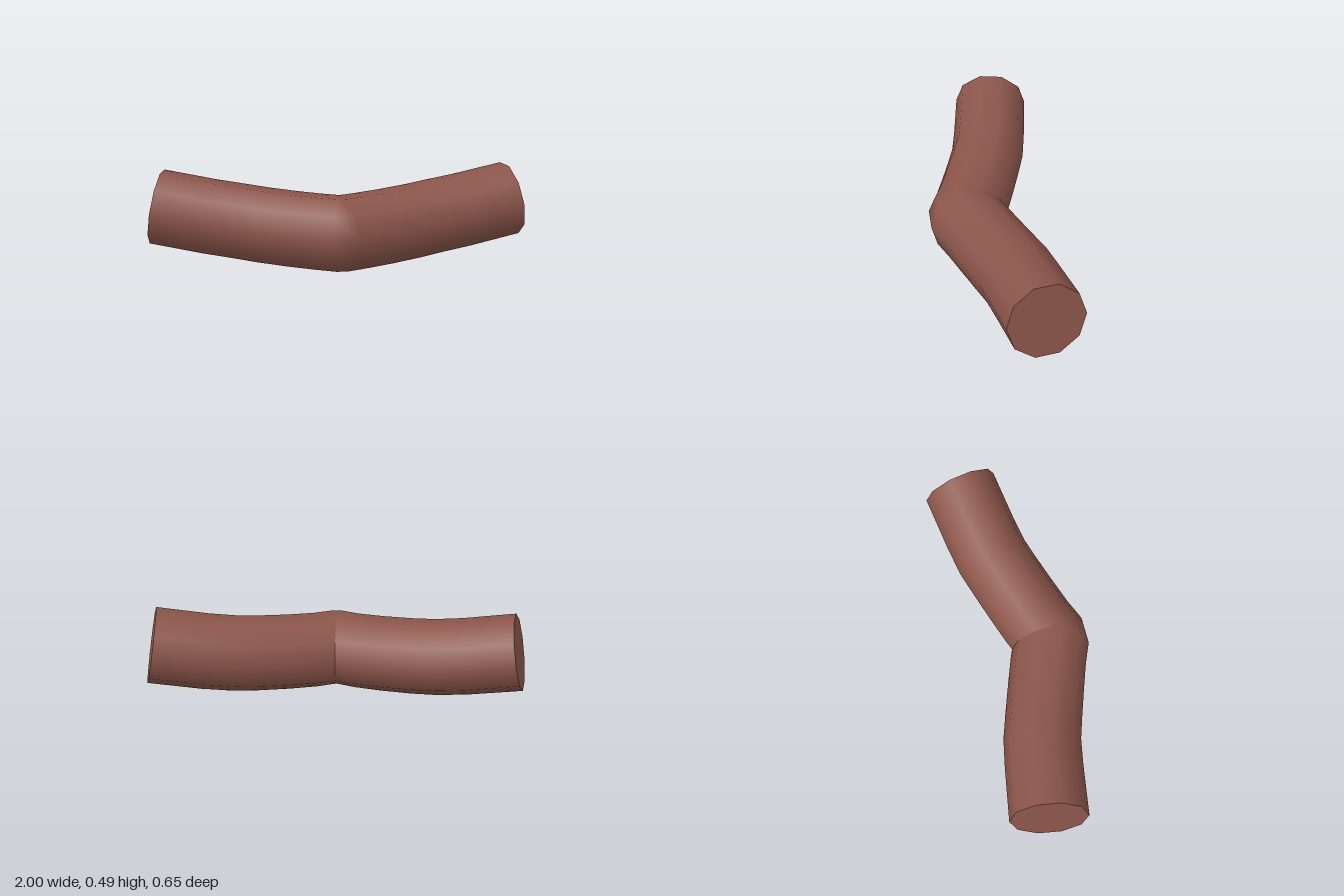
import * as THREE from 'three';

const SIDES = 10;
const RADIUS = 0.2;

// Cross-sections of the left arm, middle to tip: x, y, z, yaw, pitch, roll (degrees)
const SECTIONS = [
  [0.005, 0.198, 0.135, 20, 0, -3],
  [0.11, 0.199, 0.09, 20, 2, -3],
  [0.25, 0.206, 0.04, 19, 4, -2.5],
  [0.4, 0.218, -0.012, 18, 6, -2],
  [0.53, 0.233, -0.055, 15, 7.5, -2],
  [0.68, 0.254, -0.085, 12, 9, -1.5],
  [0.952, 0.303, -0.131, 10, 10, -1],
];

// Ten-sided ring of points and outward normals; mirror = -1 gives the other arm
function makeRing([x, y, z, yaw, pitch, roll], mirror) {
  const rad = THREE.MathUtils.degToRad;
  const turn = new THREE.Euler(rad(roll), rad(yaw), rad(pitch), 'YZX');
  const flip = new THREE.Vector3(mirror, 1, 1);
  const centre = new THREE.Vector3(x, y, z).multiply(flip);
  const normals = [];
  for (let j = 0; j <= SIDES; j++) {
    const a = (j / SIDES) * Math.PI * 2;
    normals.push(new THREE.Vector3(0, Math.sin(a), Math.cos(a)).applyEuler(turn).multiply(flip));
  }
  const points = normals.map((n) => n.clone().multiplyScalar(RADIUS).add(centre));
  return { centre, normals, points };
}

function makeGeometry(points, normals, index) {
  const g = new THREE.BufferGeometry().setFromPoints(points);
  g.setIndex(index);
  if (normals) {
    g.setAttribute('normal', new THREE.Float32BufferAttribute(normals.flatMap((n) => n.toArray()), 3));
  } else {
    g.computeVertexNormals();
  }
  return g;
}

// Smooth wall running through all rings
function wallGeometry(rings) {
  const index = [];
  const row = SIDES + 1;
  for (let i = 0; i < rings.length - 1; i++) {
    for (let j = 0; j < SIDES; j++) {
      const a = i * row + j;
      const c = a + row;
      index.push(a, c, a + 1, a + 1, c, c + 1);
    }
  }
  return makeGeometry(rings.flatMap((r) => r.points), rings.flatMap((r) => r.normals), index);
}

// Flat end disc facing +x (side 1) or -x (side -1)
function capGeometry(ring, side) {
  const index = [];
  for (let j = 1; j <= SIDES; j++) {
    if (side > 0) index.push(0, j + 1, j);
    else index.push(0, j, j + 1);
  }
  return makeGeometry([ring.centre, ...ring.points], null, index);
}

export function createModel() {
  const group = new THREE.Group();
  group.name = 'bentTube';
  const material = new THREE.MeshStandardMaterial({ color: 0x8c564b });

  const add = (name, geometry) => {
    const mesh = new THREE.Mesh(geometry, material);
    mesh.name = name;
    group.add(mesh);
  };

  const rightArm = SECTIONS.map((s) => makeRing(s, -1)).reverse();
  const leftArm = SECTIONS.map((s) => makeRing(s, 1));
  const rings = [...rightArm, ...leftArm];

  add('tubeWall', wallGeometry(rings));
  add('leftEndCap', capGeometry(rings[rings.length - 1], 1));
  add('rightEndCap', capGeometry(rings[0], -1));
  return group;
}
